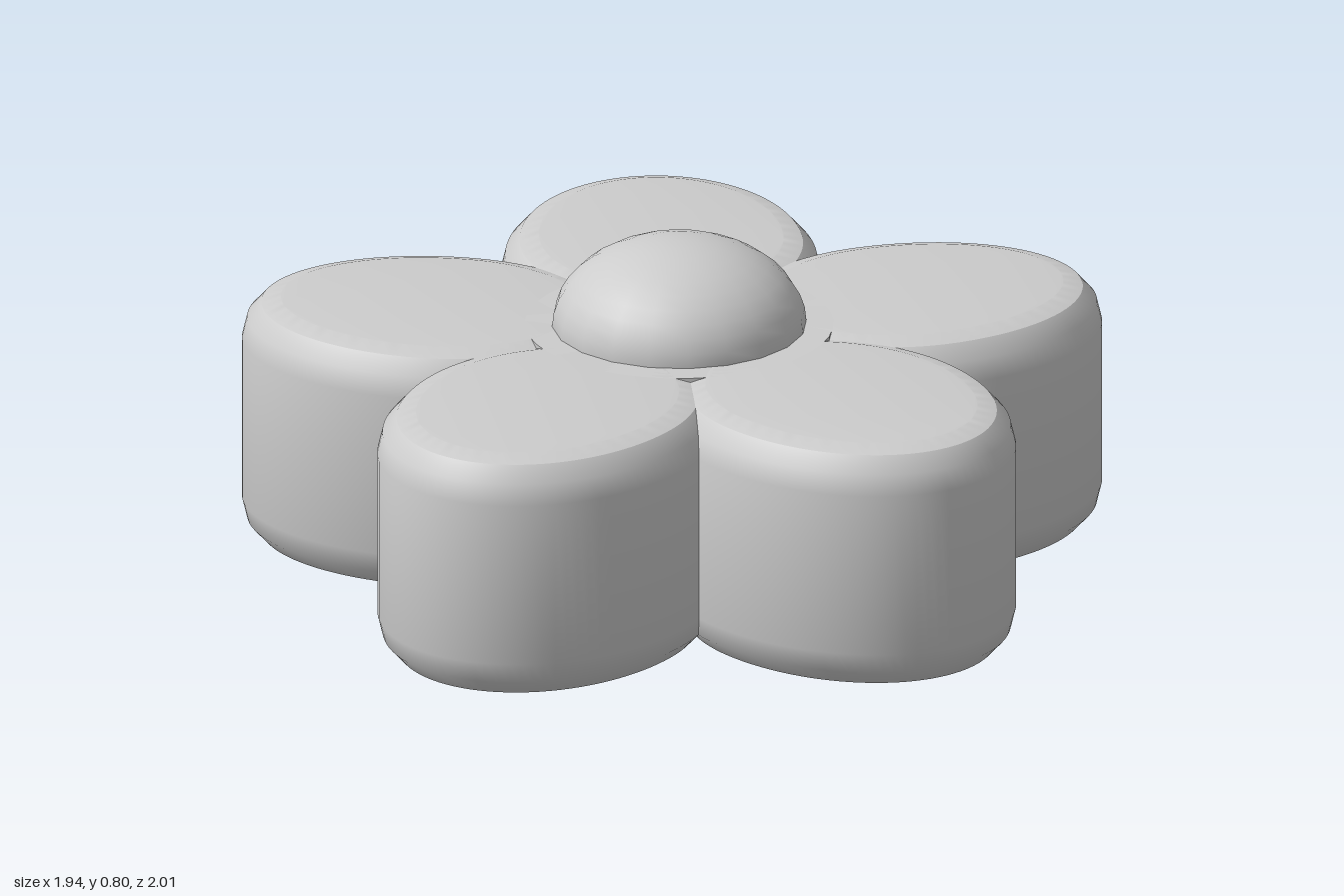
import * as THREE from 'three';
import { toCreasedNormals } from 'three/addons/utils/BufferGeometryUtils.js';

const PETALS = 5, HEIGHT = 0.595, BEVEL_H = 0.1, BEVEL_W = 0.09;

// Egg-shaped petal pointing along +x: longer outer half, shorter inner half
function petalGeometry() {
  const shape = new THREE.Shape();
  const mid = 0.565, half = 0.285;
  shape.absellipse(mid, 0, 0.385, half, -Math.PI / 2, Math.PI / 2, false, 0);
  shape.absellipse(mid, 0, 0.33, half, Math.PI / 2, Math.PI * 1.5, false, 0);
  const geo = new THREE.ExtrudeGeometry(shape, {
    depth: HEIGHT - 2 * BEVEL_H, curveSegments: 24,
    bevelThickness: BEVEL_H, bevelSize: BEVEL_W, bevelSegments: 3,
  });
  geo.rotateX(-Math.PI / 2).translate(0, BEVEL_H, 0);
  return toCreasedNormals(geo, 0.52);
}

export function createModel() {
  const grey = new THREE.MeshStandardMaterial({ color: 0xcccccc });
  grey.name = 'light grey';
  const model = new THREE.Group();
  model.name = 'flower';
  const flower = new THREE.Group();
  flower.name = 'blossom';
  flower.position.x = -0.075;
  model.add(flower);

  const add = (geo, name, y = 0) => {
    const mesh = new THREE.Mesh(geo, grey);
    mesh.name = name;
    mesh.position.y = y;
    flower.add(mesh);
    return mesh;
  };

  // Ring of petals
  const petal = petalGeometry();
  for (let i = 0; i < PETALS; i++) {
    add(petal, 'petal' + (i + 1)).rotation.y = (i * Math.PI * 2) / PETALS;
  }

  // Solid core joining the petals
  add(new THREE.CylinderGeometry(0.36, 0.36, HEIGHT, 40), 'core', HEIGHT / 2);

  // Domed centre
  const dome = new THREE.SphereGeometry(0.297, 20, 10, 0, Math.PI * 2, 0, Math.PI / 2);
  dome.scale(1, 0.69, 1);
  add(dome, 'centreDome', HEIGHT);

  return model;
}
